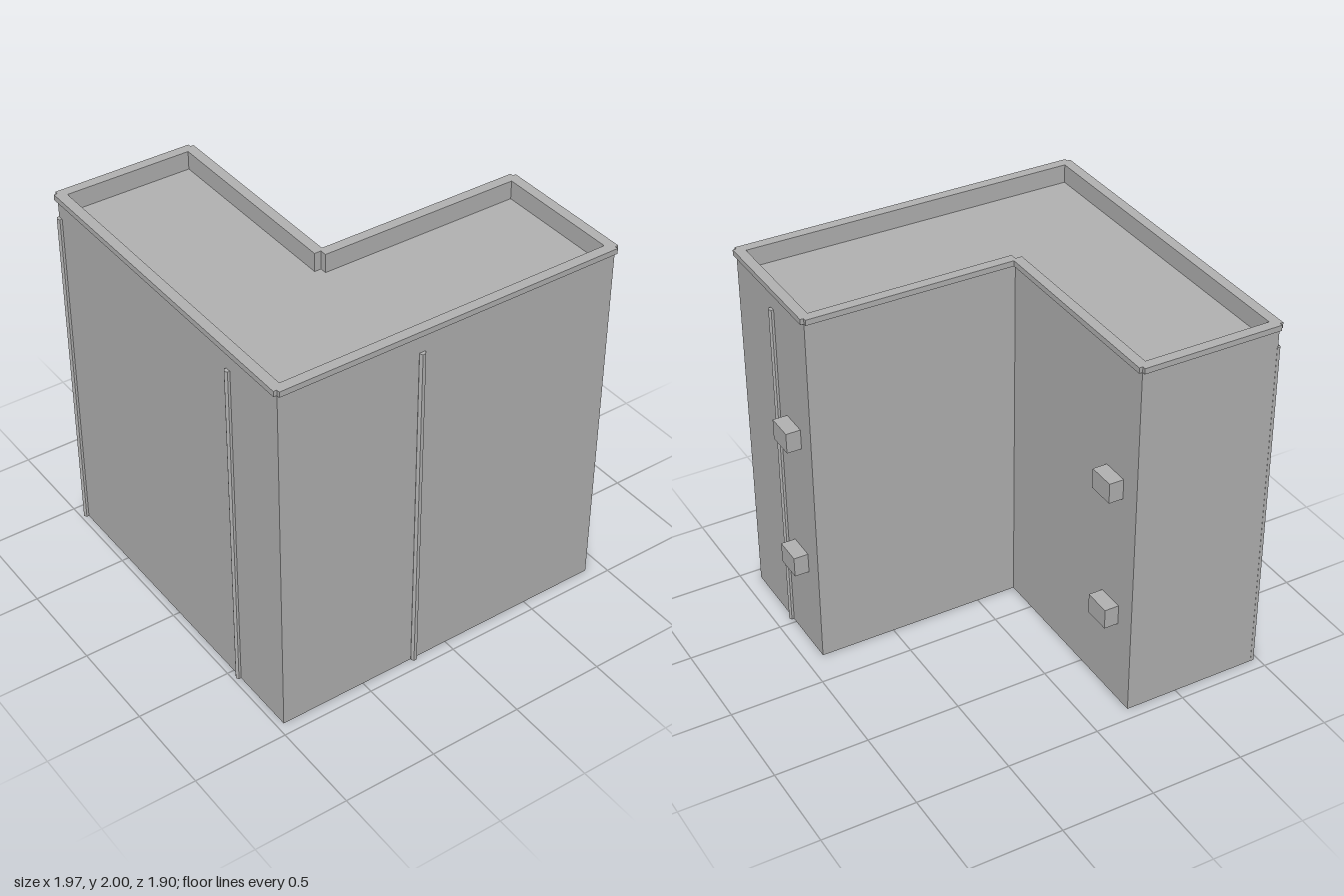
import * as THREE from 'three';

const grey = new THREE.MeshStandardMaterial({ color: 0xb2b2b2 });
grey.name = 'concrete grey';

// Plan of the L-shaped block, as [x, z] corners
const L = -0.963, R = 0.906, F = 0.934, B = -0.934, NX = -0.217, NZ = 0.186;
const plan = [[L, F], [R, F], [R, NZ], [NX, NZ], [NX, B], [L, B]];
const ROOF = 1.9, COPING = 1.97, TOP = 2;

export function createModel() {
  const model = new THREE.Group();
  model.name = 'building';

  const add = (name, geometry, x = 0, y = 0, z = 0) => {
    const mesh = new THREE.Mesh(geometry, grey);
    mesh.name = name;
    mesh.position.set(x, y, z);
    model.add(mesh);
    return mesh;
  };

  // Main block up to the flat roof
  const outline = new THREE.Shape(plan.map(([x, z]) => new THREE.Vector2(x, -z)));
  const block = new THREE.ExtrudeGeometry(outline, { depth: ROOF, bevelEnabled: false });
  add('mainBlock', block.rotateX(-Math.PI / 2));

  // A straight strip along one wall, reaching out and in from the wall line
  const strip = (name, [x0, z0], [x1, z1], y0, y1, out, inn) => {
    const length = Math.hypot(x1 - x0, z1 - z0);
    const nx = -(z1 - z0) / length, nz = (x1 - x0) / length; // outward normal
    const shift = (out - inn) / 2;
    const mesh = add(name, new THREE.BoxGeometry(length, y1 - y0, out + inn),
      (x0 + x1) / 2 + nx * shift, (y0 + y1) / 2, (z0 + z1) / 2 + nz * shift);
    mesh.rotation.y = Math.atan2(nx, nz);
  };

  // Parapet walls with an overhanging coping on each side
  plan.forEach((a, i) => {
    const b = plan[(i + 1) % plan.length];
    strip('parapet', a, b, ROOF, COPING, 0, 0.036);
    strip('coping', a, b, COPING, TOP, 0.018, 0.036);
  });

  // Six-sided drain pipes half sunk into the walls
  const pipe = new THREE.CylinderGeometry(0.017, 0.017, 1.87, 6).rotateY(Math.PI / 2).toNonIndexed();
  pipe.computeVertexNormals();
  const pipes = [[-0.197, F + 0.004], [R + 0.004, 0.541], [L - 0.004, 0.55], [L - 0.004, -0.92]];
  for (const [x, z] of pipes) add('drainPipe', pipe, x, 0.935, z);

  // Wall units on the two walls facing the model's left
  const unit = new THREE.BoxGeometry(0.077, 0.11, 0.148);
  for (const [x, z] of [[R, 0.373], [NX, -0.745]]) {
    for (const y of [0.516, 1.263]) add('wallUnit', unit, x + 0.0385, y, z);
  }

  return model;
}
